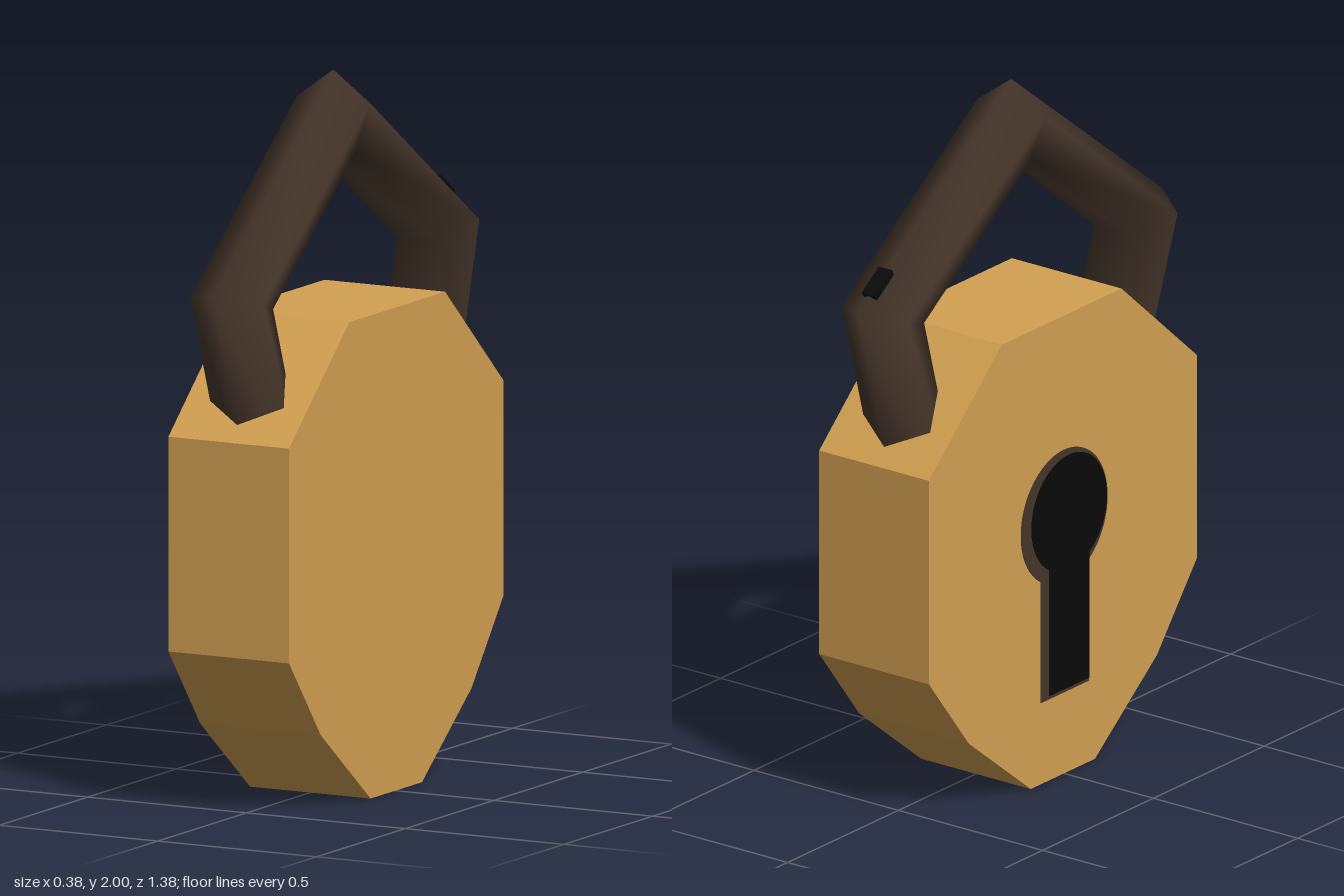
import * as THREE from 'three';

const brass = new THREE.MeshStandardMaterial({ name: 'brass', color: 0xd2a052 });
const darkIron = new THREE.MeshStandardMaterial({ name: 'dark iron', color: 0x45352a });
const black = new THREE.MeshStandardMaterial({ name: 'black', color: 0x0a0a0a });

function add(group, name, geometry, material) {
  const mesh = new THREE.Mesh(geometry, material);
  mesh.name = name;
  group.add(mesh);
  return mesh;
}

// Extrudes a (z, y) outline from x = startX towards -x
function slab(shape, startX, depth) {
  return new THREE.ExtrudeGeometry(shape, { depth, bevelEnabled: false, curveSegments: 24 })
    .rotateY(-Math.PI / 2)
    .translate(startX, 0, 0);
}

// Round hole with a straight slot below it
function keyholeShape(zc, yc, r, z0, z1, bottom) {
  const angleAt = (z) => Math.atan2(-Math.sqrt(r * r - (z - zc) ** 2), z - zc);
  const shape = new THREE.Shape();
  shape.moveTo(z0, bottom);
  shape.lineTo(z1, bottom);
  shape.absarc(zc, yc, r, angleAt(z1), angleAt(z0) + Math.PI * 2, false);
  shape.closePath();
  return shape;
}

// Five-sided bar swept through rings [z, y, outwardZ, outwardY], ridge facing outward
function barGeometry(rings, radius, sides) {
  const positions = [];
  const indices = [];
  for (const [z, y, oz, oy] of rings) {
    const length = Math.hypot(oz, oy);
    for (let i = 0; i < sides; i++) {
      const a = (i / sides) * Math.PI * 2;
      const out = (Math.cos(a) * radius) / length;
      positions.push(Math.sin(a) * radius, y + oy * out, z + oz * out);
    }
  }
  for (let r = 0; r < rings.length - 1; r++) {
    for (let i = 0; i < sides; i++) {
      const j = (i + 1) % sides;
      const a = r * sides + i, b = r * sides + j;
      indices.push(a, b, a + sides, b, b + sides, a + sides);
    }
  }
  const geometry = new THREE.BufferGeometry();
  geometry.setAttribute('position', new THREE.Float32BufferAttribute(positions, 3));
  geometry.setIndex(indices);
  geometry.computeVertexNormals();
  return geometry;
}

export function createModel() {
  const model = new THREE.Group();
  model.name = 'padlock';

  // Faceted body
  const outline = [
    [0.14, 0], [0.42, 0.22], [0.6, 0.45], [0.6, 1.05], [0.26, 1.35],
    [-0.28, 1.35], [-0.61, 1.05], [-0.61, 0.45], [-0.43, 0.22], [-0.15, 0],
  ].map(([z, y]) => new THREE.Vector2(z, y));
  add(model, 'body', slab(new THREE.Shape(outline), 0.19, 0.38), brass);

  // Keyhole with its dark rim
  add(model, 'keyholeRim', slab(keyholeShape(0, 0.76, 0.195, -0.105, 0.11, 0.24), -0.189, 0.003), darkIron);
  add(model, 'keyhole', slab(keyholeShape(0.02, 0.765, 0.17, -0.07, 0.11, 0.25), -0.189, 0.005), black);

  // Angular shackle, its feet sunk into the body
  const rings = [
    [0.366, 0.87, 0.963, 0.27],
    [0.573, 1.437, 0.963, 0.27],
    [0.01, 1.878, 0, 1],
    [-0.57, 1.481, -0.94, 0.34],
    [-0.408, 0.9, -0.94, 0.34],
  ];
  add(model, 'shackle', barGeometry(rings, 0.122, 5), darkIron);

  // Small dark mark on the shackle ridge
  const mark = add(model, 'shackleMark', new THREE.BoxGeometry(0.045, 0.022, 0.095), black);
  mark.position.set(0, 1.581, -0.592);
  mark.rotation.x = -0.6;

  return model;
}
